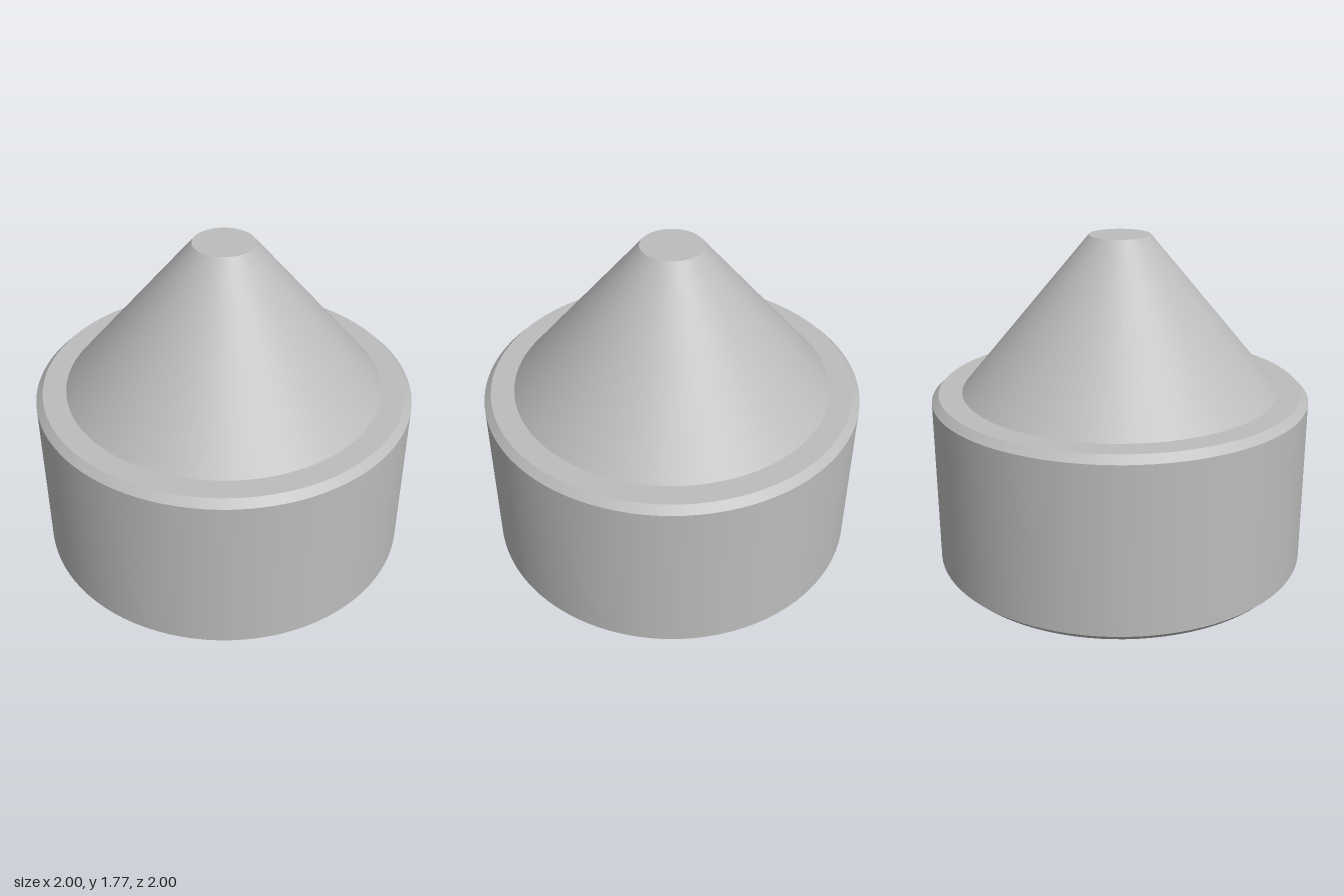
import * as THREE from 'three';

const SEGMENTS = 96;

export function createModel() {
  const group = new THREE.Group();
  group.name = 'conicalPlug';
  const grey = new THREE.MeshStandardMaterial({ color: 0xbcbcbc });
  grey.name = 'plain grey';

  // Each band is revolved on its own so the rims between bands stay sharp.
  // Points run counterclockwise round the section, so faces point outward.
  const band = (name, r0, y0, r1, y1) => {
    const profile = [new THREE.Vector2(r0, y0), new THREE.Vector2(r1, y1)];
    const mesh = new THREE.Mesh(new THREE.LatheGeometry(profile, SEGMENTS), grey);
    mesh.name = name;
    group.add(mesh);
  };

  // Hollow underside: a tapered socket matching the cone on top
  band('socketCeiling', 0, 0.81, 0.2, 0.81);
  band('socketWall', 0.2, 0.81, 0.883, 0);
  band('bottomRim', 0.883, 0, 0.963, 0);

  // Cylindrical base with chamfered edges
  band('bottomChamfer', 0.963, 0, 1, 0.037);
  band('baseWall', 1, 0.037, 1, 0.923);
  band('topChamfer', 1, 0.923, 0.963, 0.96);
  band('shoulder', 0.963, 0.96, 0.84, 0.96);

  // Truncated cone
  band('cone', 0.84, 0.96, 0.16, 1.773);
  band('coneTip', 0.16, 1.773, 0, 1.773);

  return group;
}
